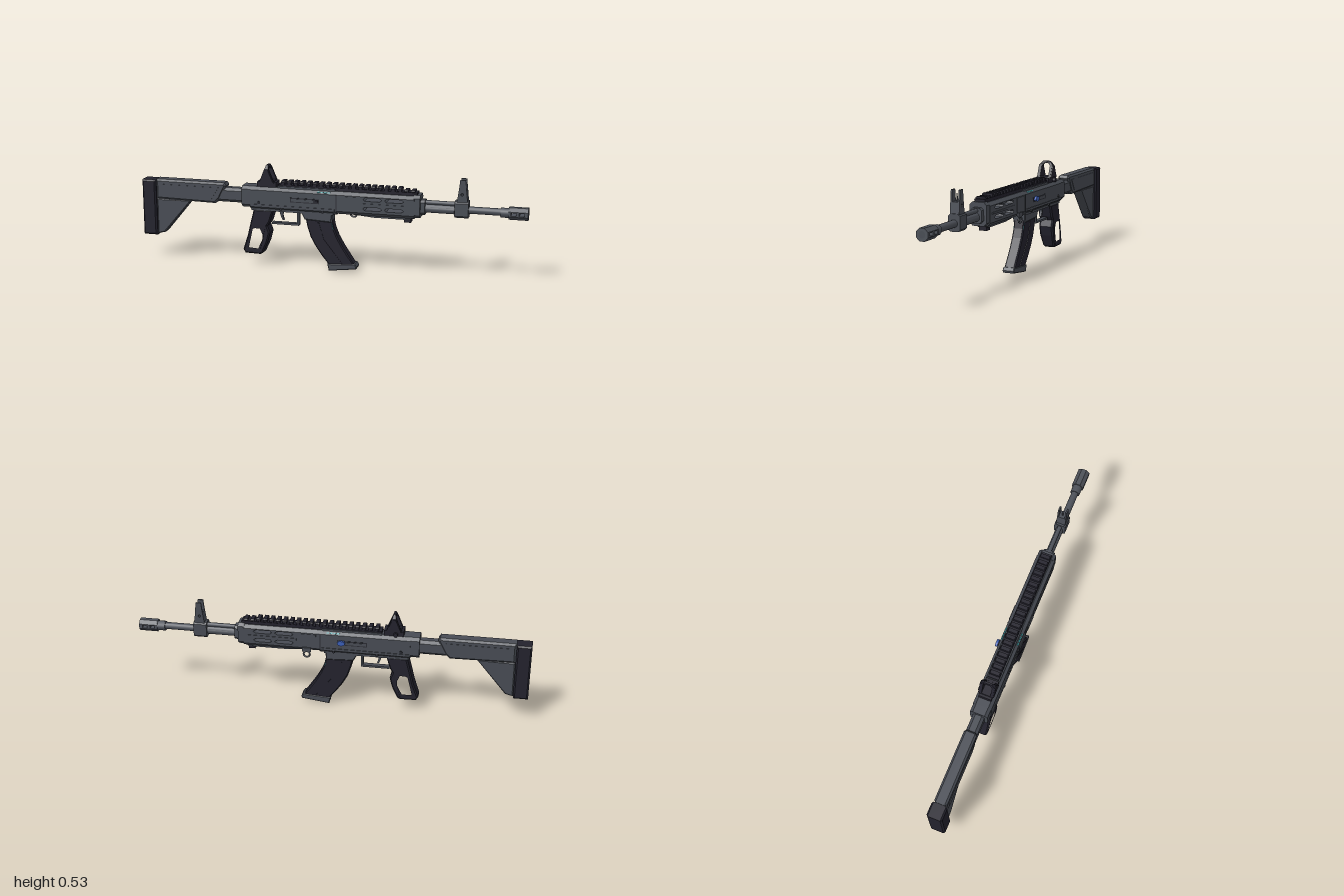
import * as THREE from 'three';

const mat = (name, color) => {
  const m = new THREE.MeshStandardMaterial({ color });
  m.name = name;
  return m;
};

export function createModel() {
  const gun = mat('gunmetal', 0x484c54), steel = mat('barrel steel', 0x4d5159), dark = mat('dark polymer', 0x23222d);
  const recess = mat('recess', 0x2a2c33), teal = mat('teal accent', 0x35a3a8), blue = mat('blue knob', 0x3c5fb8);
  const body = new THREE.Group();
  body.name = 'rifle';
  body.position.z = 0.007;

  const add = (name, geo, m, x = 0, y = 0, z = 0) => {
    const mesh = new THREE.Mesh(geo, m);
    mesh.name = name;
    mesh.position.set(x, y, z);
    body.add(mesh);
    return mesh;
  };
  const v2 = (pts) => pts.map(([x, y]) => new THREE.Vector2(x, y));
  const rect = (x0, x1, y0, y1) => [[x0, y0], [x1, y0], [x1, y1], [x0, y1]];
  // Side profile, extruded across the width
  const side = (pts, half, bevel = 0, holes = []) => {
    const shape = new THREE.Shape(v2(pts));
    holes.forEach((h) => shape.holes.push(new THREE.Path(v2(h))));
    const g = new THREE.ExtrudeGeometry(shape, {
      depth: 2 * (half - bevel), bevelEnabled: bevel > 0, bevelThickness: bevel,
      bevelSize: bevel, bevelOffset: -bevel, bevelSegments: 1, curveSegments: 6,
    });
    return g.translate(0, 0, -(half - bevel));
  };
  // Cross-section in (z, y), extruded along the length
  const along = (pts, x0, x1, holes = []) => {
    const shape = new THREE.Shape(v2(pts));
    holes.forEach((h) => shape.holes.push(new THREE.Path(v2(h))));
    return new THREE.ExtrudeGeometry(shape, { depth: x1 - x0, bevelEnabled: false })
      .rotateY(Math.PI / 2).translate(x0, 0, 0);
  };
  const octagon = (y0, y1, h, c) => [
    [-h + c, y0], [h - c, y0], [h, y0 + c], [h, y1 - c], [h - c, y1], [-h + c, y1], [-h, y1 - c], [-h, y0 + c],
  ];
  const bar = (name, x0, x1, y0, y1, h, c, m = gun) => add(name, along(octagon(y0, y1, h, c), x0, x1), m);
  const box = (name, x0, x1, y0, y1, h, m, z = 0) =>
    add(name, new THREE.BoxGeometry(x1 - x0, y1 - y0, 2 * h), m, (x0 + x1) / 2, (y0 + y1) / 2, z);
  const rod = (name, x0, x1, y, r, m = steel, sides = 16) =>
    add(name, new THREE.CylinderGeometry(r, r, x1 - x0, sides).rotateZ(Math.PI / 2), m, (x0 + x1) / 2, y);
  // Octagonal bar with windows passing through its flat sides
  const slotted = (name, x0, x1, y0, y1, h, c, holes, m) => {
    add(name, side(rect(x0, x1, y0 + c, y1 - c), h, 0, holes), m);
    add(name + 'Top', along([[-h, y1 - c], [h, y1 - c], [h - c, y1], [-h + c, y1]], x0, x1), m);
    add(name + 'Bottom', along([[-h + c, y0], [h - c, y0], [h, y0 + c], [-h, y0 + c]], x0, x1), m);
  };

  // Stock
  add('buttPad', side(rect(-1, -0.925, 0.125, 0.42), 0.04, 0.008), dark);
  add('stockBody', side([[-0.925, 0.32], [-0.6, 0.315], [-0.575, 0.34], [-0.54, 0.41], [-0.55, 0.425], [-0.925, 0.425]], 0.033, 0.01), gun);
  add('stockPanel', side([[-0.9, 0.335], [-0.62, 0.335], [-0.58, 0.4], [-0.9, 0.4]], 0.035), gun);
  add('stockStrut', side([[-0.925, 0.13], [-0.885, 0.14], [-0.735, 0.32], [-0.925, 0.32]], 0.027, 0.006,
    [[[-0.88, 0.312], [-0.81, 0.312], [-0.88, 0.218]]]), gun);
  bar('bufferTube', -0.6, -0.44, 0.325, 0.4, 0.03, 0.014);

  // Receiver
  bar('receiverEnd', -0.45, -0.405, 0.31, 0.42, 0.046, 0.015);
  bar('receiver', -0.405, 0.05, 0.3, 0.42, 0.048, 0.016);
  box('lowerReceiver', -0.4, 0.03, 0.296, 0.325, 0.04, gun);
  box('receiverCover', -0.26, 0.04, 0.405, 0.428, 0.034, gun);
  for (const s of [1, -1]) {
    box('ejectionPort', -0.19, -0.04, 0.352, 0.376, 0.002, recess, s * 0.048);
    box('portCover', -0.185, -0.07, 0.357, 0.371, 0.002, gun, s * 0.05);
    box('boltFace', -0.065, -0.045, 0.36, 0.37, 0.004, dark, s * 0.05);
    box('receiverSeam', 0.046, 0.052, 0.317, 0.404, 0.002, recess, s * 0.0475);
    box('receiverRib', -0.4, 0.04, 0.318, 0.33, 0.0025, gun, s * 0.049);
    for (let i = 0; i < 4; i++) {
      const dash = box('accentDash', -0.05 + i * 0.018, -0.037 + i * 0.018, 0.408, 0.414, 0.002, teal, s * 0.0415);
      dash.rotation.x = -s * Math.PI / 4;
    }
    for (const [x, y] of [[-0.36, 0.34], [-0.24, 0.312], [-0.02, 0.312]]) {
      add('pin', new THREE.CylinderGeometry(0.007, 0.007, 0.006, 10).rotateX(Math.PI / 2), recess, x, y, s * 0.0495);
    }
  }
  // Charging handle on the right side
  box('chargingStalk', -0.068, -0.052, 0.363, 0.375, 0.006, gun, -0.052);
  const knob = add('chargingKnob', new THREE.CylinderGeometry(0.013, 0.013, 0.012, 14).rotateX(Math.PI / 2), blue, -0.06, 0.369, -0.061);
  knob.scale.x = 1.5;

  // Handguard with four windows on each side
  const windows = [];
  for (const x of [0.195, 0.305]) for (const y of [0.334, 0.382]) {
    windows.push([[x, y], [x + 0.075, y], [x + 0.088, y + 0.008], [x + 0.075, y + 0.017], [x, y + 0.017], [x - 0.008, y + 0.008]]);
  }
  slotted('handguard', 0.05, 0.445, 0.305, 0.42, 0.048, 0.016, windows, gun);
  bar('handguardCollar', 0.44, 0.473, 0.31, 0.425, 0.045, 0.015);
  bar('handguardNose', 0.473, 0.495, 0.325, 0.4, 0.03, 0.012);
  add('handguardKeel', side([[0.06, 0.312], [0.24, 0.296], [0.42, 0.296], [0.44, 0.312]], 0.03), gun);
  box('handguardKnob', 0.39, 0.425, 0.28, 0.31, 0.02, dark);
  for (const s of [1, -1]) {
    box('handguardStrip', 0.17, 0.42, 0.361, 0.37, 0.002, gun, s * 0.049);
    box('handguardPlate', 0.07, 0.15, 0.33, 0.4, 0.002, gun, s * 0.049);
  }
  add('slingRing', new THREE.TorusGeometry(0.016, 0.005, 6, 14), gun, 0.117, 0.288, -0.05);
  box('slingMount', 0.095, 0.14, 0.304, 0.325, 0.006, gun, -0.05);

  // Top rail
  box('railBase', -0.26, 0.457, 0.418, 0.436, 0.028, dark);
  for (let i = 0; i < 21; i++) {
    const x = -0.245 + i * 0.0335;
    bar('railTooth', x, x + 0.019, 0.432, i < 19 ? 0.454 : 0.446, 0.028, 0.005, dark);
  }

  // Rear sight: an arch that narrows towards its top
  box('rearSightBase', -0.37, -0.27, 0.415, 0.446, 0.033, dark);
  const arch = along(
    [[-0.036, 0.44], [0.036, 0.44], [0.036, 0.512], [0.02, 0.531], [-0.02, 0.531], [-0.036, 0.512]], -0.04, 0.04,
    [[[-0.023, 0.45], [0.023, 0.45], [0.023, 0.507], [0.012, 0.519], [-0.012, 0.519], [-0.023, 0.507]]]);
  const p = arch.attributes.position;
  for (let i = 0; i < p.count; i++) p.setX(i, p.getX(i) * (1 - 0.88 * Math.min(1, (p.getY(i) - 0.44) / 0.085)));
  arch.computeVertexNormals();
  add('rearSightArch', arch, dark, -0.32);
  for (const s of [1, -1]) {
    add('rearSightWing', side([[-0.355, 0.447], [-0.285, 0.447], [-0.312, 0.51], [-0.328, 0.51]], 0.004), dark, 0, 0, s * 0.037);
  }
  add('windageKnob', new THREE.CylinderGeometry(0.011, 0.011, 0.016, 10).rotateX(Math.PI / 2), dark, -0.33, 0.43, -0.04);

  // Barrel, gas tube and muzzle
  rod('barrel', 0.47, 0.91, 0.36, 0.018);
  rod('gasTube', 0.47, 0.65, 0.386, 0.011);
  rod('barrelSleeve', 0.49, 0.64, 0.354, 0.02);
  rod('muzzleCollar', 0.865, 0.91, 0.358, 0.025, steel, 12);
  const ports = [0.917, 0.957].map((x) => rect(x, x + 0.026, 0.35, 0.366));
  slotted('muzzleBrake', 0.905, 1, 0.328, 0.388, 0.03, 0.0176, ports, steel);
  add('bore', new THREE.CircleGeometry(0.017, 16).rotateY(Math.PI / 2), gun, 1.0005, 0.358);

  // Front sight
  bar('frontSightBlock', 0.642, 0.71, 0.322, 0.405, 0.03, 0.01);
  const eye = Array.from({ length: 8 }, (_, i) => [0.677 + 0.007 * Math.cos(i * Math.PI / 4), 0.44 + 0.007 * Math.sin(i * Math.PI / 4)]);
  add('frontSightTower', side([[0.652, 0.4], [0.705, 0.4], [0.699, 0.458], [0.66, 0.458]], 0.024, 0, [eye]), gun);
  for (const s of [1, -1]) {
    add('frontSightEar', side([[0.66, 0.456], [0.699, 0.456], [0.693, 0.513], [0.666, 0.513]], 0.004), gun, 0, 0, s * 0.02);
  }
  add('frontSightPost', new THREE.CylinderGeometry(0.002, 0.005, 0.04, 8), gun, 0.678, 0.476);

  // Pistol grip with an open centre, wider in its upper part
  const grip = side(
    [[-0.39, 0.3], [-0.285, 0.3], [-0.305, 0.235], [-0.318, 0.215], [-0.305, 0.18], [-0.318, 0.13], [-0.345, 0.068],
      [-0.36, 0.06], [-0.44, 0.062], [-0.452, 0.08], [-0.425, 0.16], [-0.408, 0.23]], 0.033, 0.007,
    [[[-0.402, 0.2], [-0.385, 0.207], [-0.352, 0.207], [-0.336, 0.17], [-0.338, 0.14], [-0.365, 0.083], [-0.428, 0.088]]]);
  const q = grip.attributes.position;
  for (let i = 0; i < q.count; i++) if (q.getY(i) > 0.12) q.setZ(i, q.getZ(i) * 1.18);
  grip.computeVertexNormals();
  add('grip', grip, dark);

  // Trigger and guard
  box('triggerGuardBottom', -0.3, -0.155, 0.222, 0.232, 0.014, gun);
  box('triggerGuardFront', -0.165, -0.155, 0.222, 0.3, 0.014, gun);
  add('trigger', side([[-0.262, 0.3], [-0.238, 0.3], [-0.243, 0.27], [-0.236, 0.246], [-0.245, 0.246], [-0.255, 0.27]], 0.007), gun);

  // Magazine
  add('magazineWell', side([[-0.145, 0.31], [-0.12, 0.262], [0.022, 0.255], [0.025, 0.31]], 0.035, 0.005), gun);
  add('magazine', side(
    [[-0.118, 0.28], [-0.108, 0.225], [-0.09, 0.17], [-0.062, 0.12], [-0.03, 0.075], [0.008, 0.028],
      [0.138, 0.04], [0.108, 0.085], [0.078, 0.13], [0.05, 0.18], [0.032, 0.225], [0.02, 0.28]], 0.029, 0.006), dark);
  add('magazineFloor', side([[-0.002, 0.036], [0.006, 0], [0.148, 0.018], [0.152, 0.03], [0.142, 0.045]], 0.032, 0.004), gun);
  for (const s of [1, -1]) {
    const line = box('magazineAccent', -0.002, 0.002, -0.02, 0.02, 0.002, teal, s * 0.0265);
    line.position.set(0.0245, 0.232, s * 0.0265);
    line.rotation.z = 0.26;
    add('magazineRib', side([[-0.06, 0.25], [-0.045, 0.25], [-0.02, 0.165], [0.075, 0.045], [0.058, 0.045], [-0.035, 0.16]], 0.0015), dark, 0, 0, s * 0.0295);
  }

  const model = new THREE.Group();
  model.name = 'model';
  model.add(body);
  return model;
}
